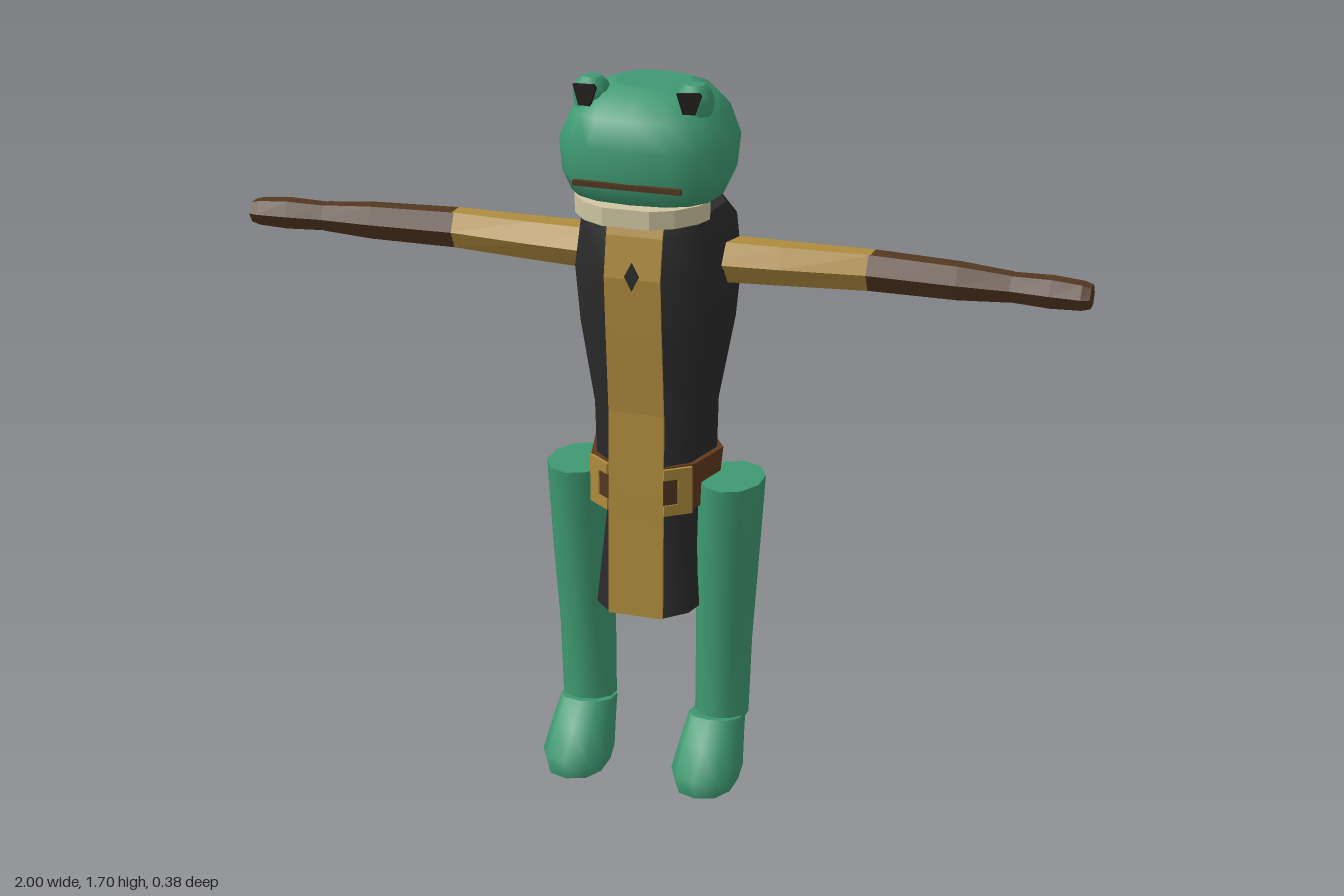
import * as THREE from 'three';

const mat = (name, color) => {
  const m = new THREE.MeshStandardMaterial({ color });
  m.name = name;
  return m;
};

// Skin a stack of equal-length rings (bottom to top) and close both ends.
function loft(rings, flat = false) {
  const n = rings[0].length, pos = [], idx = [];
  rings.forEach(r => r.forEach(p => pos.push(...p)));
  for (let i = 0; i < rings.length - 1; i++) {
    for (let j = 0; j < n; j++) {
      const a = i * n + j, b = i * n + (j + 1) % n;
      idx.push(a, b, a + n, b, b + n, a + n);
    }
  }
  [[rings[0], false], [rings[rings.length - 1], true]].forEach(([ring, top]) => {
    const start = pos.length / 3;
    ring.forEach(p => pos.push(...p));
    pos.push(...[0, 1, 2].map(k => ring.reduce((s, p) => s + p[k], 0) / n));
    for (let j = 0; j < n; j++) {
      const a = start + j, b = start + (j + 1) % n;
      idx.push(start + n, top ? a : b, top ? b : a);
    }
  });
  let g = new THREE.BufferGeometry();
  g.setAttribute('position', new THREE.Float32BufferAttribute(pos, 3));
  g.setIndex(idx);
  if (flat) g = g.toNonIndexed();
  g.computeVertexNormals();
  return g;
}

// Rounded ring; power above 2 makes it squarer, tilt raises its front.
function oval(n, y, rx, zFront, zBack, cx = 0, power = 2, tilt = 0) {
  const pull = v => Math.sign(v) * Math.pow(Math.abs(v), 2 / power);
  return Array.from({ length: n }, (_, j) => {
    const a = j / n * Math.PI * 2, c = pull(Math.cos(a));
    return [cx + rx * pull(Math.sin(a)), y + tilt * c, (zFront + zBack) / 2 + c * (zFront - zBack) / 2];
  });
}

// Coat section: flat front, angled sides and a pointed back.
function coatRing([y, w, zf, zb, tilt = 0]) {
  const d = zf - zb;
  const half = [[0.065, 0], [0.8 * w, 0.17], [w, 0.6], [0.68 * w, 0.88]];
  const right = half.map(([x, t]) => [x, y + tilt * t, zf - t * d]);
  const left = right.map(([x, py, z]) => [-x, py, z]).reverse();
  return [...right, [0, y + tilt, zb], ...left];
}

export function createModel() {
  const model = new THREE.Group();
  const green = mat('skin green', 0x3f9a72);
  const dark = mat('coat black', 0x2b2b2c);
  const gold = mat('gold cloth', 0xae8b3d);
  const brown = mat('dark brown', 0x533822);
  const leather = mat('belt leather', 0x613a1e);
  const cream = mat('collar cream', 0xcfc5a2);
  const ink = mat('eye black', 0x211e1d);

  const add = (name, geo, material, parent = model) => {
    const m = new THREE.Mesh(geo, material);
    m.name = name;
    parent.add(m);
    return m;
  };

  // Coat and flared skirt
  const coat = [
    [0.43, 0.14, 0.125, -0.167], [0.66, 0.115, 0.102, -0.152], [0.74, 0.14, 0.112, -0.153],
    [0.93, 0.145, 0.117, -0.155], [1.13, 0.182, 0.135, -0.177], [1.26, 0.194, 0.145, -0.19],
    [1.355, 0.182, 0.128, -0.175, 0.035], [1.385, 0.165, 0.117, -0.126, 0.037],
  ];
  add('coat', loft(coat.map(coatRing)), dark);
  add('belt', loft([[0.685, 0.143, 0.116, -0.162], [0.805, 0.156, 0.121, -0.164]].map(coatRing)), leather);

  // Cloth strip down the front, following the coat
  const strip = coat.map(([y, , zf]) => {
    const z = (y > 0.65 && y < 0.8 ? 0.121 : zf) + 0.004;
    return [[0.066, y, z], [0.066, y, z - 0.007], [-0.066, y, z - 0.007], [-0.066, y, z]];
  });
  add('frontStrip', loft(strip, true), gold);

  // Diamond mark on the chest
  const diamond = new THREE.Shape([[0, -0.033], [0.017, 0], [0, 0.033], [-0.017, 0]].map(p => new THREE.Vector2(...p)));
  const mark = add('chestDiamond', new THREE.ExtrudeGeometry(diamond, { depth: 0.004, bevelEnabled: false }), dark);
  mark.position.set(0, 1.267, 0.148);

  // Buckle halves wrapped onto the angled belt faces
  for (const s of [-1, 1]) {
    const buckle = new THREE.Group();
    buckle.name = 'buckleHalf';
    buckle.position.set(s * 0.064, 0.745, 0.121);
    buckle.rotation.y = s * 0.66;
    const bar = (name, w, h, x, y, m, d) =>
      add(name, new THREE.BoxGeometry(w, h, d), m, buckle).position.set(s * x, y, 0);
    bar('buckleTop', 0.07, 0.026, 0.035, 0.044, gold, 0.016);
    bar('buckleBottom', 0.07, 0.026, 0.035, -0.044, gold, 0.016);
    bar('buckleSide', 0.035, 0.066, 0.0525, 0, gold, 0.016);
    bar('buckleCentre', 0.036, 0.064, 0.018, 0, brown, 0.009);
    model.add(buckle);
  }

  // Head
  const head = [
    [1.395, 0.11, 0.10, -0.06], [1.44, 0.172, 0.163, -0.12], [1.485, 0.192, 0.18, -0.142],
    [1.56, 0.2, 0.18, -0.146], [1.625, 0.172, 0.162, -0.143], [1.665, 0.128, 0.11, -0.12],
    [1.68, 0.085, 0.065, -0.085],
  ].map(([y, rx, f, b]) => oval(16, y, rx, f, b, 0, 2.6));
  add('head', loft(head), green);
  add('mouth', new THREE.BoxGeometry(0.25, 0.012, 0.012), brown).position.set(0, 1.484, 0.18);

  // Curved collar under the chin
  const outer = [[0.158, 0.072], [0.145, 0.115], [0.105, 0.165], [0.055, 0.192]];
  const inner = [[0.118, 0.072], [0.108, 0.1], [0.08, 0.13], [0.045, 0.15]];
  const both = pts => [...pts, ...pts.map(([x, z]) => [-x, z]).reverse()];
  const collarShape = new THREE.Shape([...both(outer), ...both(inner).reverse()].map(([x, z]) => new THREE.Vector2(x, -z)));
  const collarGeo = new THREE.ExtrudeGeometry(collarShape, { depth: 0.042, bevelEnabled: false }).rotateX(-Math.PI / 2);
  add('collar', collarGeo, cream).position.y = 1.394;

  for (const s of [-1, 1]) {
    // Eye bump with a dark pupil plate in front
    const eye = [[1.62, 0.036], [1.66, 0.043], [1.685, 0.037], [1.698, 0.022]]
      .map(([y, r]) => oval(10, y, r, 0.066 + r, 0.066 - r, s * 0.12));
    add('eye', loft(eye), green);
    const pupil = new THREE.Shape([[-0.014, -0.024], [0.014, -0.024], [0.028, 0.018], [0.022, 0.025], [-0.028, 0.022]]
      .map(([x, y]) => new THREE.Vector2(x, y)));
    const plate = add('pupil', new THREE.ExtrudeGeometry(pupil, { depth: 0.009, bevelEnabled: false }), ink);
    plate.position.set(s * 0.12, 1.665, 0.107);
    plate.rotation.y = s * 0.12;

    // Six-sided arm: sleeve, forearm, hand; rows are reach, half height, z centre, half depth
    const limb = (name, rows, m) => {
      const g = loft(rows.map(([x, h, z, d]) => oval(6, x, h / 0.866, z + d, z - d)), true);
      g.rotateZ(-s * Math.PI / 2);
      add(name, g, m).position.y = 1.272;
    };
    limb('sleeve', [[0.12, 0.048, -0.027, 0.057], [0.3, 0.045, -0.037, 0.052], [0.5, 0.042, -0.052, 0.044]], gold);
    limb('forearm', [[0.495, 0.042, -0.052, 0.045], [0.7, 0.039, -0.041, 0.041], [0.82, 0.031, -0.036, 0.034]], brown);
    limb('hand', [[0.815, 0.03, -0.036, 0.033], [0.91, 0.033, -0.031, 0.037], [0.98, 0.029, -0.026, 0.035],
      [1.0, 0.024, -0.025, 0.03]], brown);

    // Leg
    const leg = [
      [0.138, 0.063, 0.047, -0.093, 0.166], [0.33, 0.066, 0.047, -0.093, 0.17],
      [0.52, 0.071, 0.069, -0.112, 0.177], [0.745, 0.075, 0.078, -0.124, 0.187],
    ].map(([y, rx, f, b, x]) => oval(10, y, rx, f, b, s * x));
    add('leg', loft(leg), green);

    // Foot sloping forward to the toes
    const foot = [
      [0, 0.07, 0.172, -0.02, 0], [0.04, 0.08, 0.183, -0.032, 0.008], [0.1, 0.072, 0.122, -0.052, 0.008],
      [0.146, 0.065, 0.068, -0.072, 0.01],
    ].map(([y, rx, f, b, t]) => oval(10, y, rx, f, b, s * 0.161, 2.3, t));
    add('foot', loft(foot), green);
  }
  return model;
}
